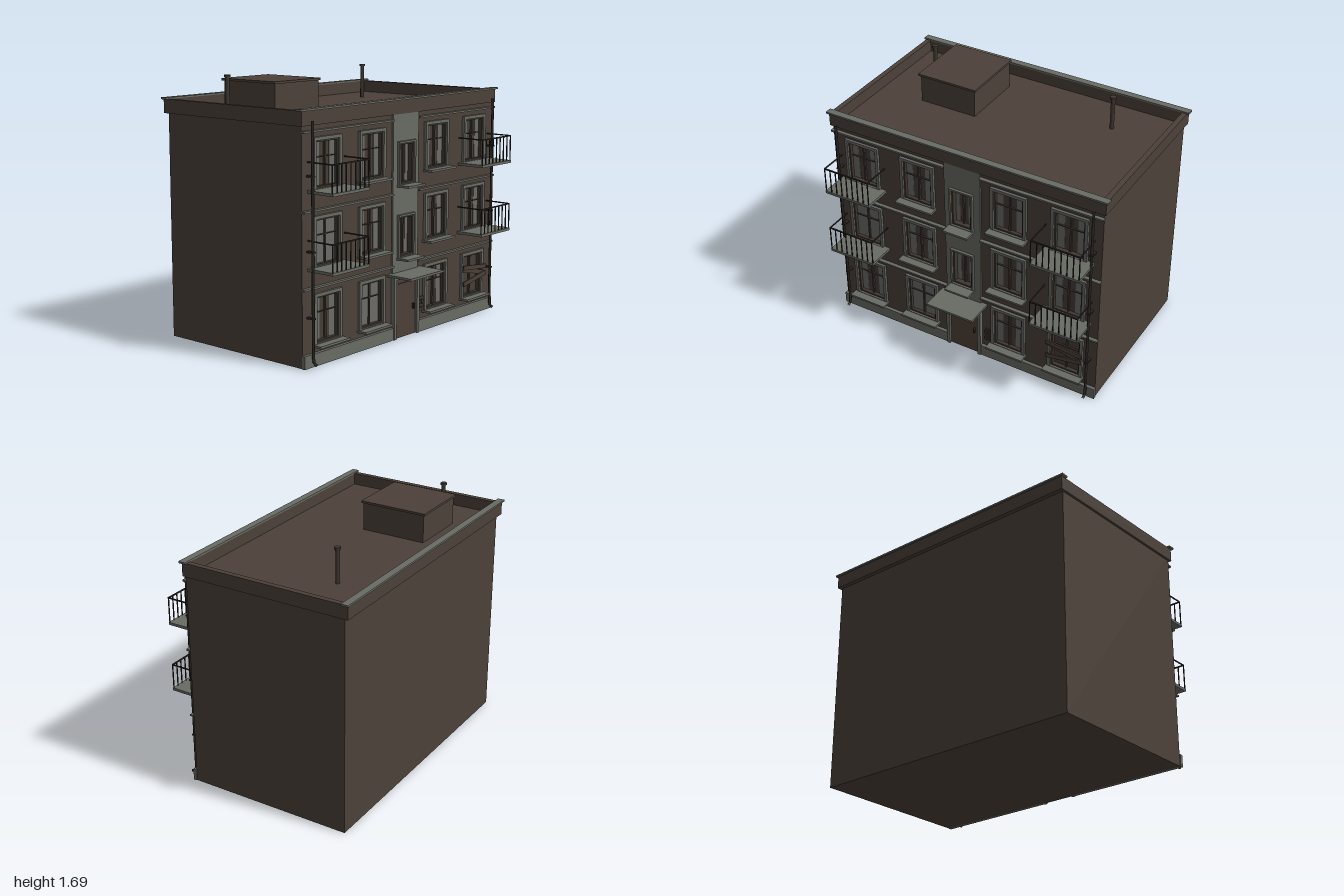
import * as THREE from 'three';

const mat = (name, color, side = THREE.FrontSide) => {
  const m = new THREE.MeshStandardMaterial({ color, side });
  m.name = name;
  return m;
};

export function createModel() {
  const wall = mat('brown wall', 0x4c4139);
  const trim = mat('grey stone trim', 0x696b64);
  const pane = mat('dark glass', 0x463d37);
  const curtain = mat('grey curtain', 0x6b6c67);
  const sash = mat('dark sash', 0x40372f);
  const metal = mat('dark metal', 0x2c2725);
  const wood = mat('old wood', 0x4d4038);

  const model = new THREE.Group();
  model.name = 'apartmentBuilding';

  const add = (name, geo, m, parent = model) => {
    const mesh = new THREE.Mesh(geo, m);
    mesh.name = name;
    parent.add(mesh);
    return mesh;
  };
  // Box given by its lower and upper limits on each axis
  const box = (name, m, x0, x1, y0, y1, z0, z1, parent = model) => {
    const b = add(name, new THREE.BoxGeometry(x1 - x0, y1 - y0, z1 - z0), m, parent);
    b.position.set((x0 + x1) / 2, (y0 + y1) / 2, (z0 + z1) / 2);
    return b;
  };
  const group = (name) => {
    const g = new THREE.Group();
    g.name = name;
    model.add(g);
    return g;
  };
  const rect = (path, x0, x1, y0, y1) => {
    path.moveTo(x0, y0);
    path.lineTo(x1, y0);
    path.lineTo(x1, y1);
    path.lineTo(x0, y1);
    path.closePath();
    return path;
  };
  // Flat panel with rectangular openings, extruded forward from z0
  const panel = (name, m, outer, holes, z0, z1, parent = model) => {
    const s = rect(new THREE.Shape(), ...outer);
    holes.forEach((h) => s.holes.push(rect(new THREE.Path(), ...h)));
    const p = add(name, new THREE.ExtrudeGeometry(s, { depth: z1 - z0, bevelEnabled: false }), m, parent);
    p.position.z = z0;
  };

  // Opening layout
  const columns = [-0.752, -0.334, 0.329, 0.75];
  const floors = [0.135, 0.605, 1.072];
  const openings = [];
  floors.forEach((y, row) => columns.forEach((x, col) => {
    openings.push({ x, y, w: 0.21, h: 0.285, row, col });
  }));
  const stairOpenings = [0.535, 1.005].map((y) => ({ x: -0.003, y, w: 0.145, h: 0.26, stair: true }));
  const limits = (o, g = 0) => [o.x - o.w / 2 - g, o.x + o.w / 2 + g, o.y - g, o.y + o.h + g];

  // Main body and pierced front wall
  const BACK = 0.455;
  box('mainBody', wall, -0.97, 0.97, 0, 1.46, -0.65, BACK);
  panel('frontWall', wall, [-0.97, 0.97, 0, 1.46],
    [...openings, ...stairOpenings].map((o) => limits(o)), BACK, 0.48);
  panel('stairPilaster', trim, [-0.13, 0.13, 0.41, 1.45], stairOpenings.map((o) => limits(o)), 0.48, 0.492);

  // Plinth and string courses
  for (const s of [-1, 1]) {
    const span = (a, b) => (s > 0 ? [a, b] : [-b, -a]);
    box('plinth', trim, ...span(0.13, 0.975), 0, 0.08, 0.48, 0.503);
    for (const y of [0.48, 0.945, 1.415]) box('stringCourse', trim, ...span(0.13, 0.975), y - 0.006, y + 0.006, 0.48, 0.505);
  }

  // Windows
  for (const o of [...openings, ...stairOpenings]) {
    const g = group(o.stair ? 'stairWindow' : 'window');
    const [x0, x1, y0, y1] = limits(o);
    const face = o.stair ? 0.492 : 0.48;
    box('glass', pane, x0, x1, y0, y1, BACK, BACK + 0.003, g);
    panel('surround', trim, limits(o, o.stair ? 0.013 : 0.021), [limits(o)], face, face + 0.018, g);
    panel('sashFrame', sash, limits(o), [limits(o, -0.011)], BACK, face + 0.004, g);
    box('mullion', sash, o.x - 0.006, o.x + 0.006, y0, y1, BACK, BACK + 0.016, g);
    const boarded = o.row === 0 && o.col === 3;
    const closed = (o.row === 1 && o.col === 0) || (o.row === 0 && o.col === 1);
    // Curtains are drawn shut, tied to the sides, or missing
    const cw = closed ? o.w / 2 : o.w * 0.29;
    const drapes = boarded ? [] : [[x0, x0 + cw], [x1 - cw, x1]];
    drapes.forEach(([a, b]) => box('curtain', curtain, a, b, y0, y1, BACK, BACK + 0.006, g));
    if (!o.stair) {
      const ty = y0 + o.h * 0.64;
      box('transom', sash, x0, x1, ty - 0.003, ty + 0.003, BACK, BACK + 0.014, g);
    }
    const sw = o.w / 2 + (o.stair ? 0.015 : 0.03);
    box('sill', trim, o.x - sw, o.x + sw, y0 - 0.018, y0 - 0.004, 0.48, o.stair ? 0.585 : 0.552, g);
  }

  // Planks nailed over one ground floor window
  for (const [y, tilt] of [[0.332, -0.1], [0.302, -0.22], [0.252, 0.17]]) {
    const p = add('plank', new THREE.BoxGeometry(0.262, 0.03, 0.01), wood);
    p.position.set(0.75, y, y === 0.302 ? 0.503 : 0.512);
    p.rotation.z = tilt;
  }

  // Entrance
  const entry = group('entrance');
  box('door', wood, -0.107, 0.107, 0, 0.39, 0.48, 0.492, entry);
  for (const s of [-1, 1]) box('doorJamb', trim, s * 0.119 - 0.012, s * 0.119 + 0.012, 0, 0.41, 0.48, 0.51, entry);
  box('doorHead', trim, -0.107, 0.107, 0.39, 0.41, 0.48, 0.51, entry);
  box('doorGroove', metal, -0.07, 0.07, 0.355, 0.36, 0.49, 0.496, entry);
  box('doorHandle', metal, 0.075, 0.085, 0.17, 0.205, 0.49, 0.51, entry);
  box('canopy', trim, -0.174, 0.17, 0.42, 0.435, 0.48, 0.675, entry);

  // Exposed brick patch beside the entrance
  const bricks = group('brickPatch');
  for (let r = 0; r < 4; r++) for (let c = 0; c < 2; c++) {
    const x = 0.148 + c * 0.032 + (r % 2) * 0.01;
    const y = 0.135 + r * 0.025;
    box('brick', sash, x, x + 0.028, y, y + 0.02, 0.48, 0.488, bricks);
  }

  // Balconies with slim railings
  for (const s of [-1, 1]) for (const y of [0.585, 1.052]) {
    const g = group('balcony');
    const cx = s * 0.753, hw = 0.168, zf = 0.672, top = y + 0.185;
    box('slab', trim, cx - hw, cx + hw, y, y + 0.018, 0.48, 0.678, g);
    box('frontRail', metal, cx - hw, cx + hw, top - 0.004, top + 0.004, zf - 0.004, zf + 0.004, g);
    for (const e of [-1, 1]) {
      const x = cx + e * (hw - 0.003);
      box('sideRail', metal, x - 0.003, x + 0.003, top - 0.004, top + 0.004, 0.48, zf, g);
    }
    for (let i = 0; i < 9; i++) {
      const x = cx + (hw - 0.003) * (i / 4 - 1);
      box('baluster', metal, x - 0.003, x + 0.003, y + 0.015, top, zf - 0.003, zf + 0.003, g);
    }
  }

  // Drainpipes with a kicked-out foot
  for (const s of [-1, 1]) {
    const x = s * 0.92;
    const path = new THREE.CurvePath();
    const pts = [[1.48, 0.522], [0.07, 0.522], [0.03, 0.53], [0.022, 0.555]].map(([y, z]) => new THREE.Vector3(x, y, z));
    for (let i = 0; i < 3; i++) path.add(new THREE.LineCurve3(pts[i], pts[i + 1]));
    add('drainpipe', new THREE.TubeGeometry(path, 90, 0.009, 8), metal);
    for (const y of [0.3, 0.7, 1.15]) box('pipeBracket', metal, x - 0.012, x + 0.012, y, y + 0.01, 0.48, 0.533);
  }

  // Parapet, with stone coping along front and back
  const parapet = group('parapet');
  box('frontParapet', wall, -0.985, 0.985, 1.45, 1.54, 0.462, 0.495, parapet);
  box('backParapet', wall, -0.985, 0.985, 1.45, 1.54, -0.678, -0.64, parapet);
  for (const s of [-1, 1]) box('sideParapet', wall, s * 0.9675 - 0.0175, s * 0.9675 + 0.0175, 1.45, 1.54, -0.64, 0.462, parapet);
  box('frontCoping', trim, -1, 1, 1.538, 1.55, 0.46, 0.508, parapet);
  box('backCoping', trim, -1, 1, 1.538, 1.55, -0.688, -0.64, parapet);

  // Roof hut and vent pipes
  box('roofHut', wall, -0.635, -0.23, 1.46, 1.645, -0.49, -0.045);
  box('roofHutCap', wall, -0.65, -0.22, 1.645, 1.66, -0.5, -0.035);
  for (const x of [-0.73, 0.594]) {
    const pipe = add('ventPipe', new THREE.CylinderGeometry(0.014, 0.014, 0.22, 12), sash);
    pipe.position.set(x, 1.57, -0.365);
    const cap = add('ventCap', new THREE.CylinderGeometry(0.021, 0.021, 0.014, 12), sash);
    cap.position.set(x, 1.685, -0.365);
  }
  return model;
}
